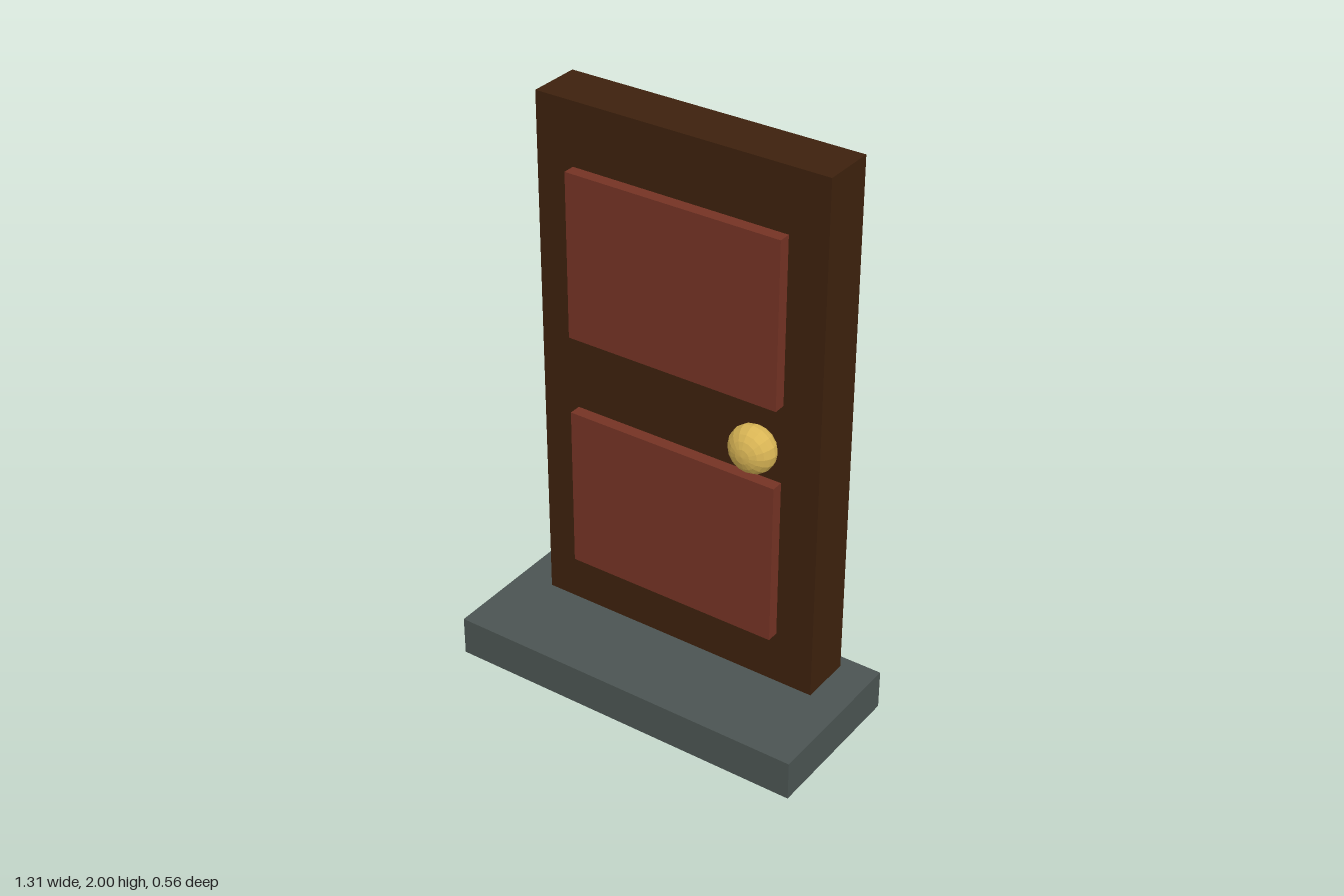
import * as THREE from 'three';

export function createModel() {
  const group = new THREE.Group();
  group.name = 'door';

  const mat = (name, color, flatShading = false) => {
    const m = new THREE.MeshStandardMaterial({ color, flatShading });
    m.name = name;
    return m;
  };
  const darkWood = mat('dark wood', 0x3d210d);
  const redWood = mat('red wood', 0x743324);
  const stone = mat('grey stone', 0x4b5452);
  const brass = mat('brass', 0xd9b555, true);

  // Box given by its extents along each axis
  const box = (name, material, [x0, x1], [y0, y1], [z0, z1]) => {
    const mesh = new THREE.Mesh(new THREE.BoxGeometry(x1 - x0, y1 - y0, z1 - z0), material);
    mesh.position.set((x0 + x1) / 2, (y0 + y1) / 2, (z0 + z1) / 2);
    mesh.name = name;
    group.add(mesh);
  };

  // Doorstep and door leaf
  box('doorstep', stone, [-0.654, 0.654], [0, 0.14], [-0.28, 0.28]);
  box('doorLeaf', darkWood, [-0.528, 0.528], [0.14, 2], [-0.235, -0.048]);

  // Raised panels
  box('lowerPanel', redWood, [-0.391, 0.391], [0.332, 0.916], [-0.06, -0.005]);
  box('upperPanel', redWood, [-0.391, 0.391], [1.197, 1.78], [-0.06, -0.005]);

  // Flattened knob, poles along z, standing just clear of the leaf
  const knobGeometry = new THREE.SphereGeometry(0.083, 16, 10);
  knobGeometry.rotateX(Math.PI / 2).scale(1, 1, 0.75);
  const knob = new THREE.Mesh(knobGeometry, brass);
  knob.position.set(0.337, 1.068, 0.036);
  knob.name = 'knob';
  group.add(knob);

  return group;
}
